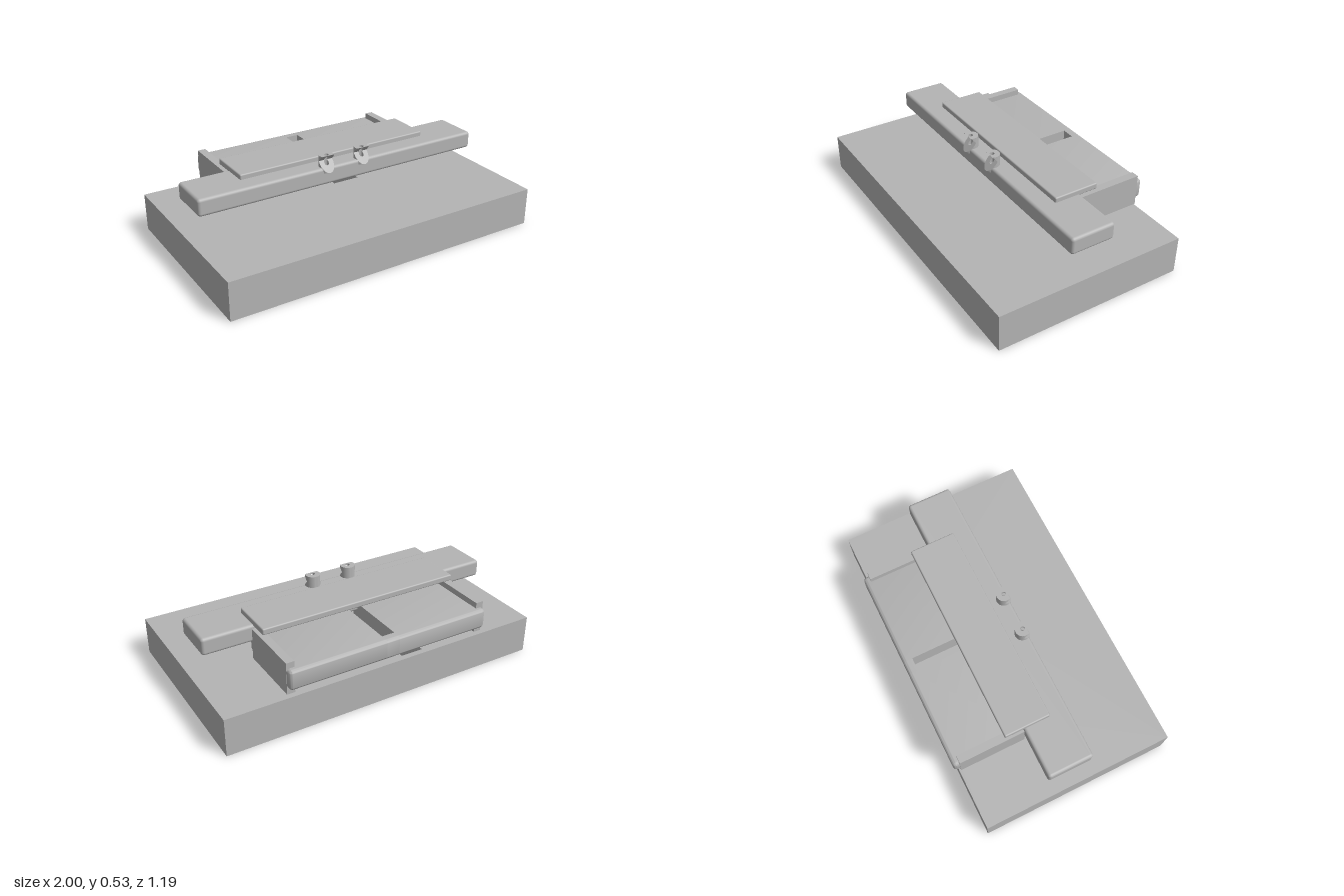
import * as THREE from 'three';
import { toCreasedNormals } from 'three/addons/utils/BufferGeometryUtils.js';
import { RoundedBoxGeometry } from 'three/addons/geometries/RoundedBoxGeometry.js';

const grey = new THREE.MeshStandardMaterial({ color: 0xb4b4b4 });
grey.name = 'plain grey';

// Moves every vertex by a rule, then rebuilds normals with sharp edges kept
function reshape(geometry, rule) {
  const pos = geometry.attributes.position;
  const v = new THREE.Vector3();
  for (let i = 0; i < pos.count; i++) {
    rule(v.fromBufferAttribute(pos, i));
    pos.setXYZ(i, v.x, v.y, v.z);
  }
  return toCreasedNormals(geometry, 0.6);
}

// Box given by its limits, rounded when r > 0
function block(x0, x1, y0, y1, z0, z1, r = 0) {
  const size = [x1 - x0, y1 - y0, z1 - z0];
  const g = r ? new RoundedBoxGeometry(...size, 4, r) : new THREE.BoxGeometry(...size);
  return g.translate((x0 + x1) / 2, (y0 + y1) / 2, (z0 + z1) / 2);
}

export function createModel() {
  const model = new THREE.Group();
  const add = (name, geometry, parent = model) => {
    const mesh = new THREE.Mesh(geometry, grey);
    mesh.name = name;
    parent.add(mesh);
    return mesh;
  };
  const rect = (path, x0, x1, z0, z1) =>
    path.moveTo(x0, -z1).lineTo(x1, -z1).lineTo(x1, -z0).lineTo(x0, -z0).closePath();

  // Base slab with a shallow pocket under the deck
  const outline = rect(new THREE.Shape(), -1, 1, -0.57, 0.597);
  outline.holes.push(rect(new THREE.Path(), -0.24, 0.22, -0.535, -0.1));
  add('baseSlab', new THREE.ExtrudeGeometry(outline, { depth: 0.23, bevelEnabled: false })
    .rotateX(-Math.PI / 2));
  add('pocketFloor', block(-0.24, 0.22, 0, 0.08, -0.535, -0.1));

  // Rounded deck, cut by a slot that opens at the front
  const deck = new THREE.Group();
  deck.name = 'deck';
  model.add(deck);
  const deckBox = () => block(-0.638, 0.635, 0.284, 0.405, -0.597, -0.12, 0.022);
  const slot = 0.04;
  add('deckLeftHalf', reshape(deckBox(), (v) => { v.x = Math.max(v.x, slot); }), deck);
  add('deckRightHalf', reshape(deckBox(), (v) => { v.x = Math.min(v.x, -slot); }), deck);
  add('deckBridge', reshape(deckBox(), (v) => {
    v.x = THREE.MathUtils.clamp(v.x, -slot, slot);
    v.z = Math.min(v.z, -0.54);
  }), deck);

  // Side rails on the deck ends
  add('leftRail', block(0.589, 0.637, 0.248, 0.44, -0.56, -0.155));
  add('rightRail', block(-0.642, -0.594, 0.248, 0.44, -0.56, -0.155));

  // Long cross bar and the thin plate on it
  add('crossBar', block(-0.935, 0.932, 0.355, 0.46, -0.16, 0.117, 0.018));
  add('topPlate', block(-0.63, 0.626, 0.452, 0.49, -0.276, 0.004, 0.008));

  // Notched posts: a hollow cylinder with a V cut in its front
  const R = 0.045, zc = 0.089, top = 0.53, bottom = 0.43, zv = 0.078, yv = 0.495;
  const ring = () => new THREE.LatheGeometry(
    [[0.014, 0], [R, 0], [R, 1], [0.014, 1], [0.014, 0]].map((p) => new THREE.Vector2(...p)), 40);
  for (const [name, x] of [['leftPost', 0.118], ['rightPost', -0.122]]) {
    const post = new THREE.Group();
    post.name = name;
    post.position.set(x, 0, zc);
    model.add(post);
    // Lower part, sloping down to the front
    add(name + 'Foot', reshape(ring(), (v) => {
      v.y = v.y > 0.5 ? Math.min(top, yv - 1.14 * (v.z + zc - zv)) : bottom;
    }), post);
    // Upper part, overhanging with a cut-off tip
    add(name + 'Lip', reshape(ring(), (v) => {
      v.z = Math.min(v.z, 0.11 - zc);
      v.y = v.y > 0.5 ? top : yv + 1.08 * (v.z + zc - zv);
    }), post);
  }
  return model;
}
